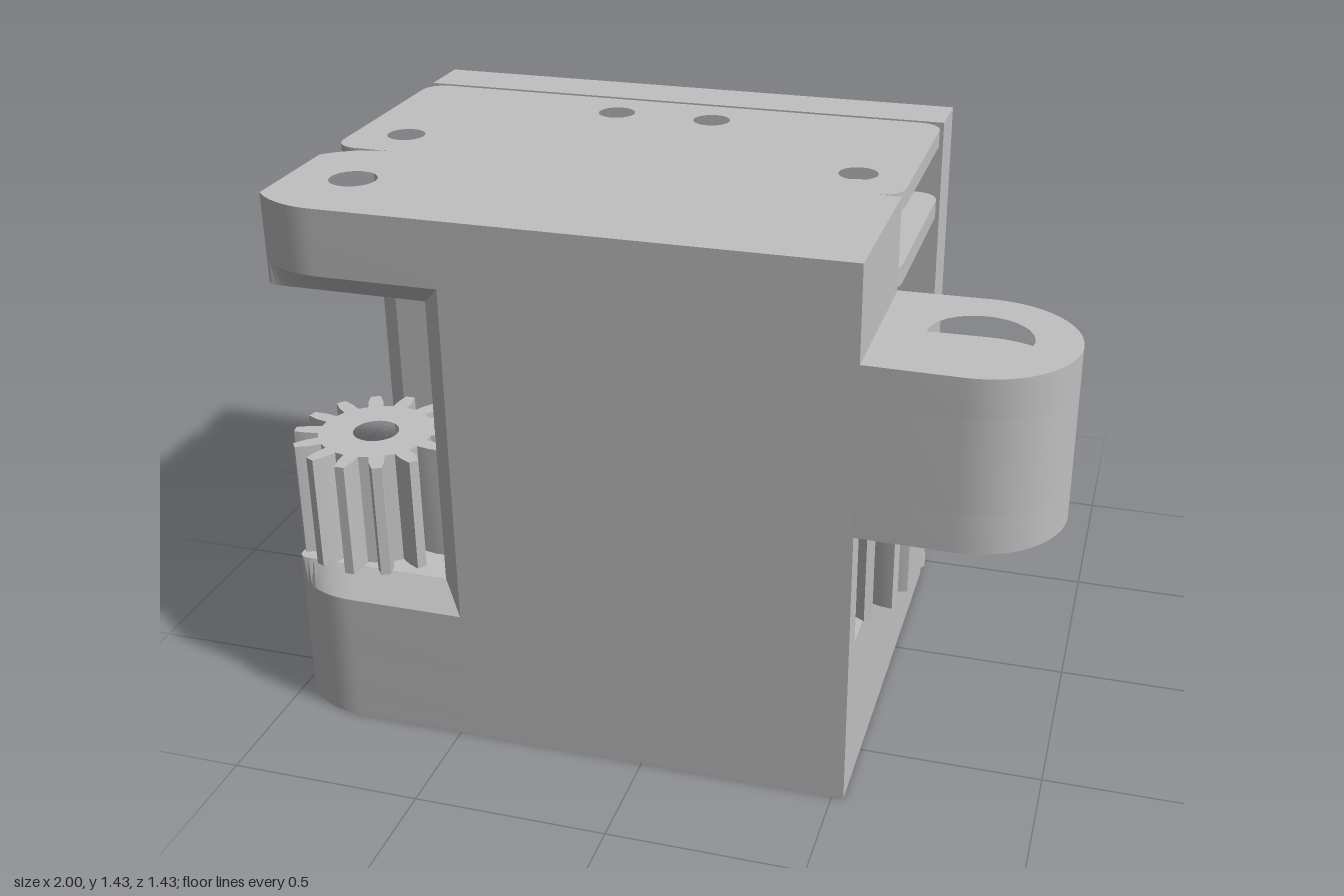
import * as THREE from 'three';
import { toCreasedNormals } from 'three/addons/utils/BufferGeometryUtils.js';

export function createModel() {
  const model = new THREE.Group();
  model.name = 'gearedActuator';
  const grey = new THREE.MeshStandardMaterial({ color: 0xc0c0c0 });
  grey.name = 'plain grey';

  const add = (name, geo, parent = model) => {
    const m = new THREE.Mesh(geo, grey);
    m.name = name;
    parent.add(m);
    return m;
  };
  const group = (name) => {
    const g = new THREE.Group();
    g.name = name;
    model.add(g);
    return g;
  };
  const box = (name, x0, x1, y0, y1, z0, z1, parent) => {
    const g = new THREE.BoxGeometry(x1 - x0, y1 - y0, z1 - z0);
    g.translate((x0 + x1) / 2, (y0 + y1) / 2, (z0 + z1) / 2);
    return add(name, g, parent);
  };
  // points along an arc in plan, degrees measured from +x towards +z
  const arc = (cx, cz, r, a0, a1, n = 12) => {
    const pts = [];
    for (let i = 0; i <= n; i++) {
      const a = THREE.MathUtils.degToRad(a0 + ((a1 - a0) * i) / n);
      pts.push([cx + r * Math.cos(a), cz + r * Math.sin(a)]);
    }
    return pts;
  };
  const circle = (cx, cz, r, n = 32) => arc(cx, cz, r, 0, 360, n).slice(0, -1);
  const vec = (pts) => pts.map(([x, z]) => new THREE.Vector2(x, -z));
  // plan outline of [x, z] points raised from y0 to y1; edit may move vertices
  const slab = (name, pts, y0, y1, holes = [], parent = model, edit = null) => {
    const s = new THREE.Shape(vec(pts));
    holes.forEach((h) => s.holes.push(new THREE.Path(vec(h))));
    const g = new THREE.ExtrudeGeometry(s, { depth: y1 - y0, bevelEnabled: false });
    g.rotateX(-Math.PI / 2);
    g.translate(0, y0, 0);
    if (edit) {
      const p = g.attributes.position;
      for (let i = 0; i < p.count; i++) edit(p, i);
    }
    g.deleteAttribute('uv');
    return add(name, toCreasedNormals(g, 0.5), parent);
  };
  const rect = (x0, x1, z0, z1) => [[x0, z0], [x1, z0], [x1, z1], [x0, z1]];
  const roundRect = (x0, x1, z0, z1, r) => [
    ...arc(x1 - r, z1 - r, r, 0, 90, 6), ...arc(x0 + r, z1 - r, r, 90, 180, 6),
    ...arc(x0 + r, z0 + r, r, 180, 270, 6), ...arc(x1 - r, z0 + r, r, 270, 360, 6)];
  const gear = (name, cx, cz, r, root, n, y0, y1, hole, turn = 0) => {
    const pts = [];
    for (let i = 0; i < n; i++) {
      [[-0.3, root], [-0.24, (root + r) / 2], [-0.13, r], [0.13, r], [0.24, (root + r) / 2], [0.3, root]]
        .forEach(([f, q]) => {
          const a = ((i + f + turn) / n) * Math.PI * 2;
          pts.push([cx + q * Math.cos(a), cz + q * Math.sin(a)]);
        });
    }
    return slab(name, pts, y0, y1, hole ? [circle(cx, cz, hole, 24)] : []);
  };

  const L = -0.96, R = 0.53, F = 0.71, B = -0.54;
  const lugX = -0.79, lugZ = 0.48, lugR = 0.23;
  const frontArc = arc(lugX, lugZ, lugR, 90, 137.6, 10);
  const backArc = arc(lugX, lugZ, lugR, 222.4, 270, 10);
  const fullFront = [[R, 0.25], [R, F], ...frontArc, ...backArc];

  // base with counterbored screw holes, slot and a nut pocket at one corner
  const base = group('base');
  const slot = rect(-0.25, 0.03, 0.13, 0.25);
  const baseHoles = (r) => [circle(-0.05, 0.48, r), circle(-0.41, 0.48, r), slot];
  slab('baseBottom', [[R, -0.42], [R, F], ...frontArc, [L, B], [0.4, B], [0.4, -0.42]], 0, 0.045, baseHoles(0.115), base);
  slab('baseTop', [[R, B], [R, F], ...frontArc, [L, B]], 0.045, 0.19, baseHoles(0.075), base);
  slab('cornerNut', circle(0.455, -0.47, 0.08, 6), 0, 0.045, [circle(0.455, -0.47, 0.045, 20)], base);

  // front block, stacked around the gear window and the side cavity
  const front = group('frontBlock');
  const d = 0.06;
  const windowEdge = [[-0.48, F], [-0.54, F - d], [-0.54, 0.25]];
  const lug = [[-0.48, 0.25], [-0.48, F], ...frontArc, ...backArc];
  const slope = (level) => (p, i) => {
    if (Math.abs(p.getY(i) - level) < 0.001) p.setZ(i, Math.min(p.getZ(i), F - d));
  };
  slab('lowerFront', fullFront, 0.19, 0.36, [], front);
  slab('lowerLug', lug, 0.36, 0.43, [], front, slope(0.43));
  slab('windowSill', [[R, 0.25], [R, F], ...windowEdge], 0.36, 0.42, [], front);
  slab('gearWall', [[R, 0.64], [R, F], ...windowEdge, [0.1, 0.25], [0.1, 0.64]], 0.42, 0.745, [], front);
  slab('upperFront', [[R, 0.25], [R, F], ...windowEdge], 0.745, 1.26, [], front);
  slab('upperLug', lug, 1.2, 1.26, [circle(lugX, lugZ, 0.06)], front, slope(1.2));
  slab('topFront', fullFront, 1.26, 1.43, [circle(lugX, lugZ, 0.06)], front);

  // core between motor and side, open for the gears
  const core = group('core');
  box('innerWall', -0.14, 0.1, 0.19, 0.87, -0.385, 0.25, core);
  box('rearPost', 0.1, R, 0.19, 0.745, -0.385, -0.22, core);
  box('gearFloor', 0.1, R, 0.19, 0.42, 0.14, 0.25, core);
  box('gearStep', 0.1, R, 0.19, 0.25, -0.22, 0.14, core).scale.x = 1;
  box('gearRoof', 0.1, R, 0.745, 0.87, -0.385, 0.25, core);
  slab('coreTop', roundRect(-0.14, R, -0.37, 0.25, 0.06), 0.87, 0.92, [], core);

  // back plate with an opening for the connector
  const plate = new THREE.Shape([[R, 0.19], [R, 1.43], [L, 1.43], [L, 0.55], [-0.09, 0.55], [-0.09, 0.19]]
    .map(([x, y]) => new THREE.Vector2(x, y)));
  const plateGeo = new THREE.ExtrudeGeometry(plate, { depth: 0.155, bevelEnabled: false });
  plateGeo.translate(0, 0, B);
  add('backPlate', plateGeo);

  // motor can: a cylinder with two flats
  slab('motor', [...arc(-0.55, -0.06, 0.41, 130.9, 229.1, 24), ...arc(-0.55, -0.06, 0.41, -49.1, 49.1, 24)], 0.19, 1.185);

  // circuit boards and spacers
  const screws = [[-0.35, -0.24, 1.185], [-0.08, -0.24, 0.92], [-0.82, 0.105, 1.185], [0.395, 0.105, 0.92]];
  const boards = group('boards');
  const boardHoles = screws.map(([x, z]) => circle(x, z, 0.05, 24));
  const outline = roundRect(L, R, -0.37, 0.25, 0.06);
  slab('lowerBoard', outline, 1.185, 1.235, boardHoles, boards);
  slab('topBoard', outline, 1.385, 1.43, boardHoles, boards);
  screws.forEach(([x, z, y]) =>
    slab('spacer', circle(x, z, 0.093), y, 1.385, [circle(x, z, 0.05, 24)], boards));

  // mounting ear with counterbores at both ends
  const ear = group('mountingEar');
  const earX = 0.765;
  const earPts = [[R, 0.25], ...arc(earX, lugZ, 0.235, -90, 90, 24), [R, F]];
  [[0.75, 0.85, 0.125], [0.85, 1.09, 0.075], [1.09, 1.19, 0.125]].forEach(([y0, y1, r]) =>
    slab('earLayer', earPts, y0, y1, [circle(earX, lugZ, r)], ear));
  slab('earLip', circle(earX, lugZ, 0.14), 0.74, 0.75, [circle(earX, lugZ, 0.125)], ear);

  // gears
  gear('outputGear', lugX, lugZ, 0.215, 0.15, 14, 0.43, 0.74, 0.06, 0.5);
  gear('idlerGear', 0.375, 0.38, 0.24, 0.18, 16, 0.43, 0.74, 0.05);
  gear('pinionGear', 0.335, -0.045, 0.18, 0.13, 12, 0.43, 0.74, 0, 0.5);
  slab('pinionDisc', circle(0.335, -0.04, 0.18), 0.34, 0.43);
  slab('pinionHub', circle(0.335, -0.06, 0.11), 0.25, 0.34);
  slab('pinionPin', circle(0.51, -0.065, 0.024, 16), 0.74, 0.79);

  // connector: open shell with slotted sides, contacts and a solder strip
  const con = group('connector');
  const x0 = -0.46, x1 = -0.09, zb = -0.715;
  box('connectorBack', x0, x1, 0.25, 0.475, -0.56, -0.42, con);
  slab('connectorTop', rect(x0, x1, zb, -0.54), 0.445, 0.475,
    [rect(-0.43, -0.38, -0.6, -0.565), rect(-0.17, -0.12, -0.6, -0.565)], con);
  box('connectorBottom', x0, x1, 0.25, 0.28, zb, -0.54, con);
  [x0, x1 - 0.03].forEach((x) => {
    box('sideLower', x, x + 0.03, 0.28, 0.36, zb, -0.56, con);
    box('sideUpper', x, x + 0.03, 0.42, 0.445, zb, -0.56, con);
    box('sideInner', x, x + 0.03, 0.36, 0.42, -0.6, -0.56, con);
  });
  for (let i = 0; i < 4; i++) {
    const pin = new THREE.CapsuleGeometry(0.016, 0.1, 4, 10);
    pin.rotateX(Math.PI / 2);
    pin.translate(-0.395 + i * 0.08, 0.39, -0.61);
    add('contact', pin, con);
  }
  const stripHoles = [0, 1, 2, 3].map((i) => circle(-0.8 + i * 0.1, -0.5, 0.022, 12));
  slab('solderStrip', rect(-0.85, -0.09, -0.55, -0.45), 0.2, 0.255, stripHoles, con);

  return model;
}
